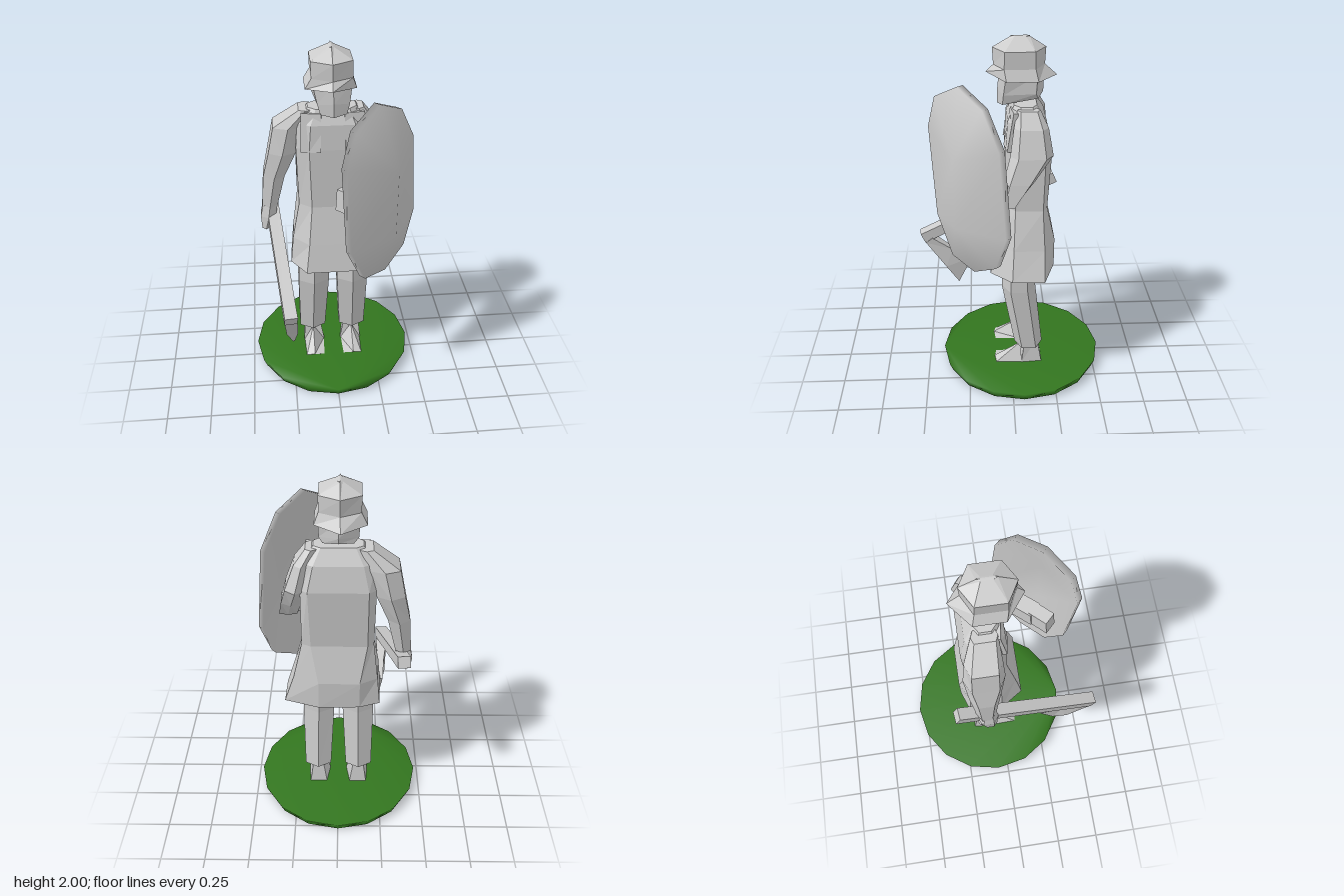
import * as THREE from 'three';
import { mergeVertices } from 'three/addons/utils/BufferGeometryUtils.js';

const grey = new THREE.MeshStandardMaterial({ color: 0xcccccc, flatShading: true });
const cloth = new THREE.MeshStandardMaterial({ color: 0xcccccc, flatShading: true, side: THREE.DoubleSide });
const smooth = new THREE.MeshStandardMaterial({ color: 0xcccccc });
const green = new THREE.MeshStandardMaterial({ color: 0x33761f });

// Skin a solid over cross-sections with equal point counts, facing outward
function loft(rings, openStart = false) {
  const n = rings[0].length, pos = rings.flat(2), idx = [];
  for (let r = 0; r < rings.length - 1; r++)
    for (let i = 0; i < n; i++) {
      const a = r * n + i, b = r * n + (i + 1) % n;
      idx.push(a, b, b + n, a, b + n, a + n);
    }
  const last = (rings.length - 1) * n;
  for (let i = 1; i < n - 1; i++) {
    if (!openStart) idx.push(0, i + 1, i);
    idx.push(last, last + i, last + i + 1);
  }
  // signed volume tells whether the corners need reversing
  const v = idx.map(i => new THREE.Vector3(...pos.slice(i * 3, i * 3 + 3)));
  let volume = 0;
  for (let i = 0; i < v.length; i += 3) volume += v[i].dot(v[i + 1].clone().cross(v[i + 2]));
  if (volume < 0) idx.reverse();
  const g = new THREE.BufferGeometry();
  g.setAttribute('position', new THREE.Float32BufferAttribute(pos, 3));
  g.setIndex(idx);
  const merged = mergeVertices(g);
  merged.computeVertexNormals();
  return merged;
}

// Horizontal cross-section at height y from [x, z] pairs
const level = (y, pts) => pts.map(([x, z]) => [x, y, z]);
// Horizontal hexagon between x limits and z limits, pointed front and back
const hex = (y, x0, x1, z0, z1, k = 0.25) => {
  const c = (x0 + x1) / 2, d = (z1 - z0) * k;
  return level(y, [[c, z1], [x1, z1 - d], [x1, z0 + d], [c, z0], [x0, z0 + d], [x0, z1 - d]]);
};
// Horizontal 16-sided ring for the ground disc
const disc = (y, r) => level(y, Array.from({ length: 16 }, (_, i) =>
  [r * Math.sin(i * Math.PI / 8), -0.065 + r * Math.cos(i * Math.PI / 8)]));
const mirror = rings => rings.map(r => r.map(([x, y, z]) => [-x, y, z]));

export function createModel() {
  const model = new THREE.Group();
  const add = (name, geometry, material = grey) => {
    const m = new THREE.Mesh(geometry, material);
    m.name = name;
    model.add(m);
    return m;
  };
  // Square bar between two points
  const beam = (name, a, b, w, h) => {
    const p = new THREE.Vector3(...a), q = new THREE.Vector3(...b);
    const m = add(name, new THREE.BoxGeometry(w, h, p.distanceTo(q)));
    m.position.copy(p).add(q).multiplyScalar(0.5);
    m.lookAt(q);
  };

  // Ground disc with softly shaded rim
  add('base', loft([disc(0, 0.455), disc(0.05, 0.475)]), green);

  // Trousers and pointed shoes
  const leg = [hex(0.17, 0.045, 0.2, -0.185, -0.02), hex(0.57, 0.025, 0.205, -0.14, 0.055), hex(0.95, 0.02, 0.19, -0.12, 0.04)];
  const shoe = [
    [[0.06, 0.05, 0.09], [0.17, 0.05, 0.09], [0.12, 0.06, 0.1]],
    [[0.055, 0.05, -0.06], [0.175, 0.05, -0.06], [0.12, 0.16, -0.06]],
  ];
  const ankle = [level(0.05, [[0.05, -0.06], [0.18, -0.06], [0.17, -0.18], [0.07, -0.18]]),
    level(0.2, [[0.08, -0.08], [0.165, -0.08], [0.15, -0.155], [0.095, -0.155]])];
  for (const [side, f] of [['left', r => r], ['right', mirror]]) {
    add(side + 'Leg', loft(f(leg)));
    add(side + 'Shoe', loft(f(shoe)));
    add(side + 'Ankle', loft(f(ankle)));
  }

  // Tunic, open at the hem, with flared skirt, waist, chest and shoulders
  add('tunic', loft([
    level(0.7, [[-0.16, 0.12], [0.19, 0.12], [0.3, 0], [0.305, -0.18], [0.11, -0.245], [-0.12, -0.24], [-0.235, -0.2], [-0.245, -0.01]]),
    level(0.87, [[-0.14, 0.085], [0.16, 0.085], [0.25, -0.01], [0.25, -0.18], [0.11, -0.245], [-0.12, -0.245], [-0.22, -0.19], [-0.23, -0.01]]),
    level(1.09, [[-0.12, 0.035], [0.12, 0.035], [0.19, -0.02], [0.2, -0.17], [0.15, -0.195], [-0.16, -0.195], [-0.195, -0.17], [-0.19, -0.02]]),
    level(1.44, [[-0.13, 0.03], [0.13, 0.03], [0.2, -0.02], [0.2, -0.18], [0.16, -0.215], [-0.16, -0.215], [-0.2, -0.18], [-0.2, -0.02]]),
    level(1.58, [[-0.12, 0.02], [0.12, 0.02], [0.19, -0.03], [0.19, -0.15], [0.13, -0.185], [-0.13, -0.185], [-0.19, -0.15], [-0.19, -0.03]]),
    level(1.66, [[-0.09, -0.015], [0.09, -0.015], [0.13, -0.05], [0.13, -0.11], [0.09, -0.135], [-0.09, -0.135], [-0.13, -0.11], [-0.13, -0.05]]),
  ], true), cloth);
  for (const s of [-1, 1]) beam('shoulderStrap', [s * 0.12, 1.43, 0.02], [s * 0.115, 1.64, -0.015], 0.11, 0.025);

  // Right arm hanging down to the axe
  add('rightArm', loft([
    hex(1.65, -0.18, -0.11, -0.155, -0.02, 0.1),
    hex(1.55, -0.32, -0.16, -0.205, -0.01, 0.15),
    hex(1.4, -0.35, -0.2, -0.22, 0, 0.18),
    hex(1.24, -0.385, -0.265, -0.2, -0.03),
    hex(1.03, -0.4, -0.315, -0.17, -0.06),
  ]));
  add('rightHand', loft([hex(1.05, -0.395, -0.315, -0.15, -0.06), hex(0.98, -0.41, -0.32, -0.17, -0.05), hex(0.9, -0.405, -0.36, -0.14, -0.06)]));

  // Left arm bent behind the shield
  add('leftUpperArm', loft([
    hex(1.65, 0.11, 0.17, -0.15, -0.03, 0.15),
    hex(1.57, 0.15, 0.23, -0.19, -0.01, 0.18),
    hex(1.43, 0.17, 0.28, -0.215, 0.01, 0.18),
    hex(1.3, 0.2, 0.31, -0.12, 0.045, 0.18),
    hex(1.18, 0.23, 0.33, -0.02, 0.055, 0.15),
  ]));
  beam('leftForearm', [0.28, 1.24, 0.01], [0.09, 1.26, 0.22], 0.09, 0.11);
  beam('leftHand', [0.1, 1.26, 0.21], [0.02, 1.27, 0.29], 0.075, 0.12);

  // Axe: long handle and wedge blade, thick along its leading edge
  beam('axeHandle', [-0.355, 1.05, -0.28], [-0.27, 0.69, 0.53], 0.07, 0.065);
  add('axeBlade', loft([
    [[-0.305, 0.66, 0.51], [-0.235, 0.66, 0.51], [-0.235, 0.69, 0.47], [-0.305, 0.69, 0.47]],
    [[-0.295, 0.485, 0.39], [-0.232, 0.485, 0.39], [-0.245, 0.605, 0.35], [-0.285, 0.605, 0.35]],
    [[-0.26, 0.365, 0.315], [-0.25, 0.365, 0.315], [-0.26, 0.54, 0.225], [-0.275, 0.54, 0.225]],
  ]));

  // Head with beard, tilted along the jaw
  add('head', loft([
    [[0, 1.645, 0.07], [0.07, 1.655, 0.045], [0.08, 1.69, -0.14], [0, 1.7, -0.17], [-0.08, 1.69, -0.14], [-0.07, 1.655, 0.045]],
    [[0, 1.72, 0.07], [0.085, 1.71, 0.04], [0.1, 1.72, -0.13], [0, 1.73, -0.175], [-0.105, 1.72, -0.13], [-0.085, 1.71, 0.04]],
    hex(1.82, -0.11, 0.1, -0.17, 0.06, 0.15),
  ]));

  // Helmet: brim raised to a peak in front, upright band and ridged crown
  const brim = hex(1.79, -0.147, 0.123, -0.245, 0.13, 0.28);
  brim[0][1] = 1.81;
  add('helmet', loft([
    brim,
    hex(1.85, -0.115, 0.1, -0.18, 0.09, 0.2),
    hex(1.94, -0.118, 0.1, -0.185, 0.095, 0.22),
    hex(1.995, -0.02, 0.005, -0.1, 0, 0.2),
    hex(2, -0.01, -0.005, -0.1, 0, 0.2),
  ]));

  // Domed shield of even thickness: rim outline on a slanted plane, raised along a vertical ridge
  const outline = [[0.18, 1.8], [0.31, 1.72], [0.395, 1.53], [0.428, 1.06], [0.37, 0.855],
    [0.25, 0.765], [0.12, 0.8], [0.035, 1.02], [0.005, 1.53], [0.05, 1.71]];
  const plate = (lift, bulge) => outline.map(([x, y]) => {
    const onPlane = (px, py, d) => [px + 0.68 * d, py, 0.415 - 0.94 * px + 0.73 * d];
    return [onPlane(x, y, lift), onPlane(0.22, y > 1.25 ? 1.44 : 1.06, bulge)];
  });
  const front = plate(0.04, 0.135), back = plate(0, 0.09);
  add('shield', loft([back.map(p => p[1]), back.map(p => p[0]), front.map(p => p[0]), front.map(p => p[1])]), smooth);

  return model;
}
